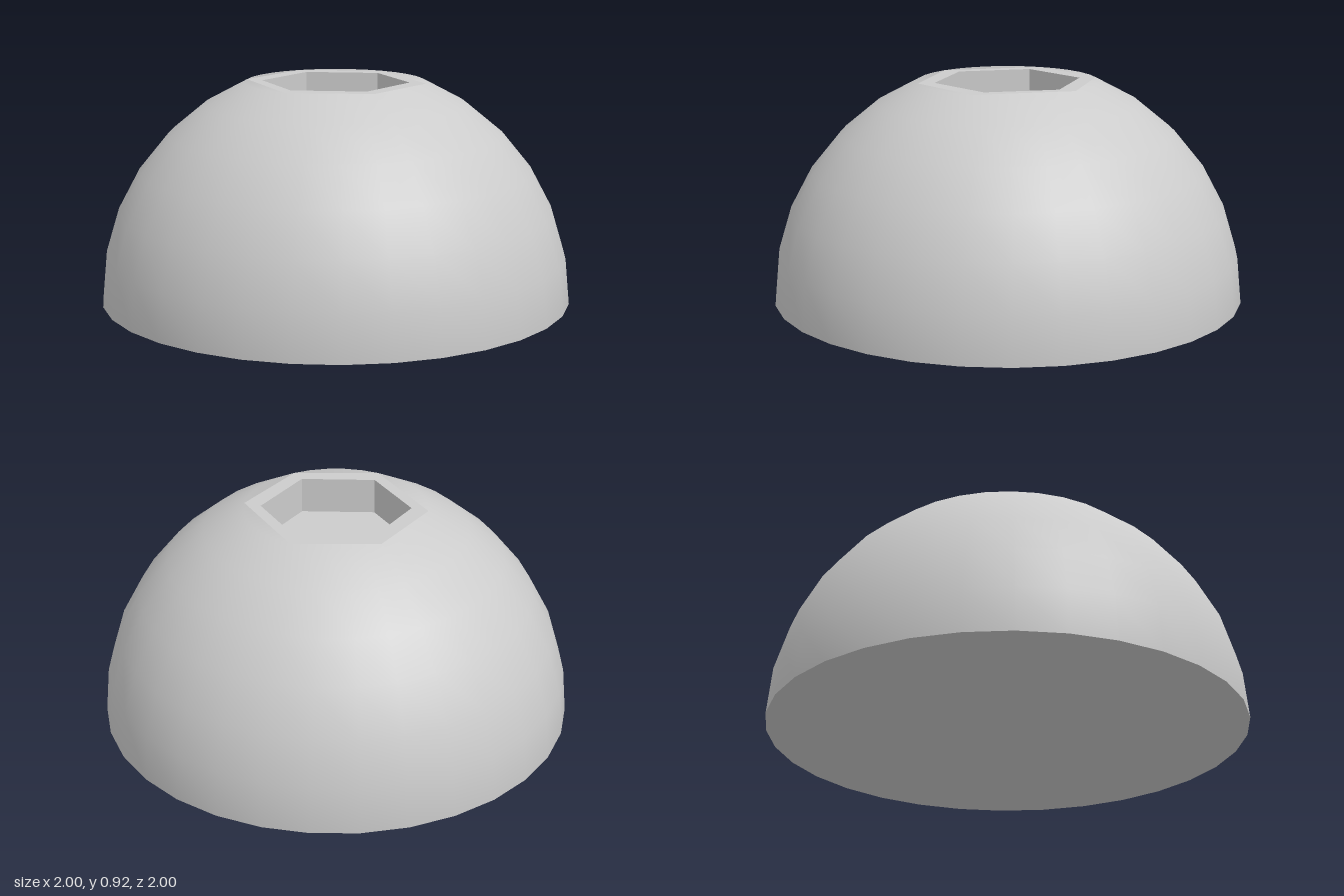
import * as THREE from 'three';

const SEGMENTS = 32;
const STEP = Math.PI / 16;            // angle between dome rings
const TOP = Math.cos(2 * STEP);       // height of the flat top
const TOP_RADIUS = Math.sin(2 * STEP);
const SOCKET_RADIUS = 0.312;
const SOCKET_DEPTH = 0.153;
const CORNERS = [3, 8, 13, 19, 24, 29, 35]; // ring columns where the rim hexagon touches

function ringPoint(i) {
  const a = (i / SEGMENTS) * Math.PI * 2;
  return new THREE.Vector2(-Math.cos(a) * TOP_RADIUS, Math.sin(a) * TOP_RADIUS);
}

// Point on the rim hexagon that belongs to a ring column
function rimPoint(i) {
  const column = i < CORNERS[0] ? i + SEGMENTS : i;
  const k = CORNERS.findIndex((c, n) => n > 0 && column <= c);
  const a = CORNERS[k - 1], b = CORNERS[k];
  return ringPoint(a).lerp(ringPoint(b), (column - a) / (b - a));
}

// Hemisphere whose uppermost ring is flattened into the hexagonal rim
function domeGeometry() {
  const geo = new THREE.SphereGeometry(1, SEGMENTS, 7, 0, Math.PI * 2, STEP, 7 * STEP);
  const pos = geo.attributes.position, normal = geo.attributes.normal;
  for (let i = 0; i <= SEGMENTS; i++) {
    const p = rimPoint(i);
    const below = i + SEGMENTS + 1;
    pos.setXYZ(i, p.x, TOP, p.y);
    normal.setXYZ(i, normal.getX(below), normal.getY(below), normal.getZ(below));
  }
  return geo;
}

// Flat hexagonal frame around the socket
function rimGeometry() {
  const shape = new THREE.Shape(CORNERS.slice(0, 6).map(ringPoint));
  const hole = [];
  for (let k = 0; k < 6; k++) {
    const a = (k * Math.PI) / 3;
    hole.push(new THREE.Vector2(Math.sin(a) * SOCKET_RADIUS, Math.cos(a) * SOCKET_RADIUS));
  }
  shape.holes.push(new THREE.Path(hole));
  return new THREE.ShapeGeometry(shape).rotateX(-Math.PI / 2).translate(0, TOP, 0);
}

export function createModel() {
  const group = new THREE.Group();
  group.name = 'domeWithHexSocket';
  const smooth = new THREE.MeshStandardMaterial({ color: 0xcccccc });
  const flat = new THREE.MeshStandardMaterial({ color: 0xcccccc, flatShading: true });
  const inside = new THREE.MeshStandardMaterial({
    color: 0xcccccc, flatShading: true, side: THREE.DoubleSide,
  });

  const add = (name, geometry, material) => {
    const mesh = new THREE.Mesh(geometry, material);
    mesh.name = name;
    group.add(mesh);
  };

  add('dome', domeGeometry(), smooth);
  add('socketRim', rimGeometry(), flat);

  // Socket walls, open at both ends
  const walls = new THREE.CylinderGeometry(SOCKET_RADIUS, SOCKET_RADIUS, SOCKET_DEPTH, 6, 1, true)
    .scale(-1, 1, 1)
    .translate(0, TOP - SOCKET_DEPTH / 2, 0)
    .toNonIndexed();
  walls.computeVertexNormals();
  add('socketWalls', walls, inside);

  add('socketFloor', new THREE.CircleGeometry(SOCKET_RADIUS, 6)
    .rotateX(-Math.PI / 2).rotateY(Math.PI / 2)
    .translate(0, TOP - SOCKET_DEPTH, 0), flat);

  add('base', new THREE.CircleGeometry(1, SEGMENTS).rotateX(Math.PI / 2), flat);

  return group;
}
